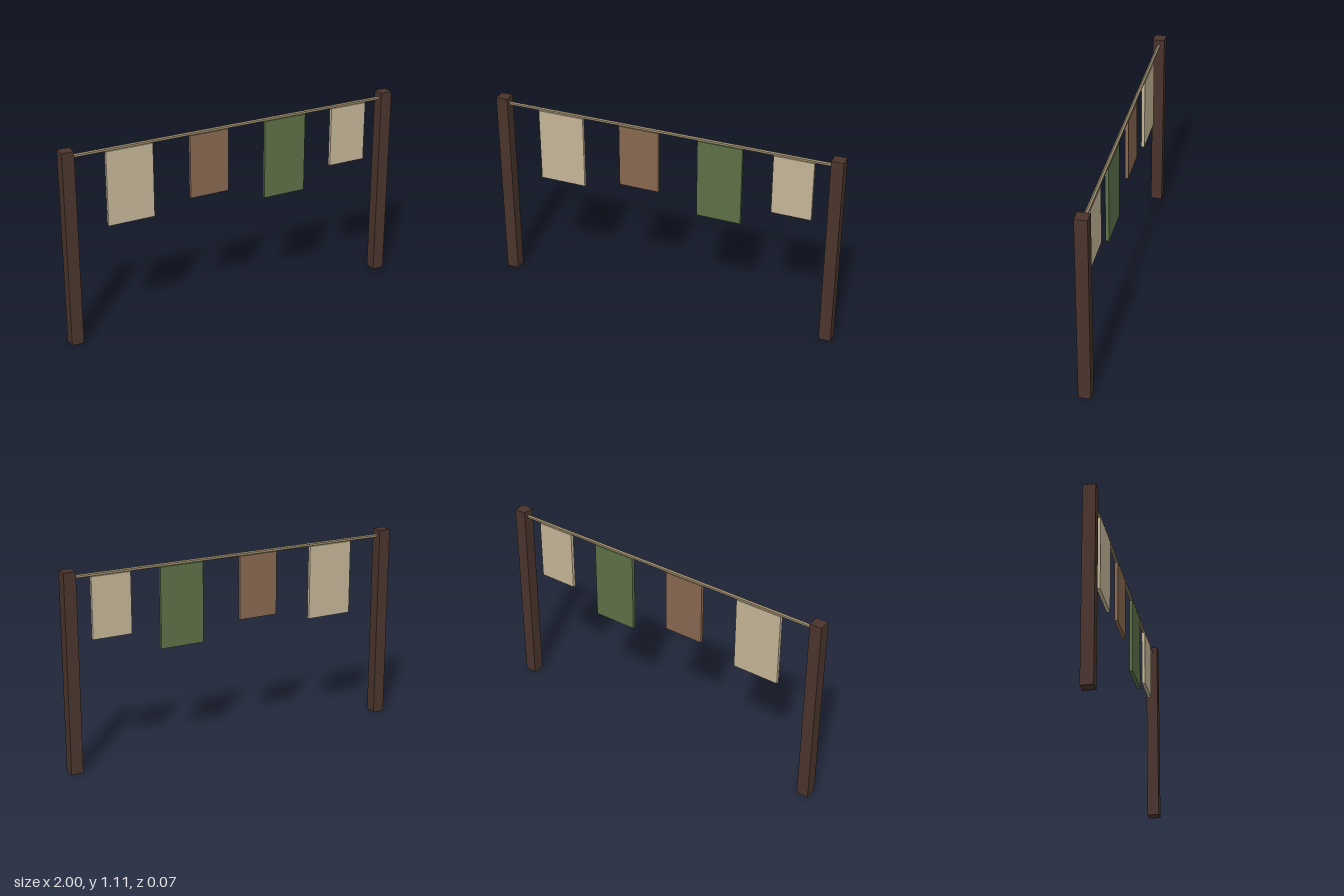
import * as THREE from 'three';

const material = (name, color) => {
  const m = new THREE.MeshStandardMaterial({ color });
  m.name = name;
  return m;
};

export function createModel() {
  const group = new THREE.Group();
  const wood = material('dark wood', 0x4a342c);
  const cord = material('cord', 0x9c8c6c);
  const linen = material('linen', 0xc4b597);
  const brown = material('brown cloth', 0x876850);
  const green = material('green cloth', 0x5d7047);

  const addBox = (name, mat, x0, x1, y0, y1, depth) => {
    const mesh = new THREE.Mesh(new THREE.BoxGeometry(x1 - x0, y1 - y0, depth), mat);
    mesh.position.set((x0 + x1) / 2, (y0 + y1) / 2, 0);
    mesh.name = name;
    group.add(mesh);
  };

  // Square end posts
  addBox('rightPost', wood, -1, -0.932, 0, 1.112, 0.068);
  addBox('leftPost', wood, 0.932, 1, 0, 1.112, 0.068);

  // Six-sided line strung between the posts
  const ropeGeometry = new THREE.CylinderGeometry(0.0105, 0.0105, 1.87, 6, 1, false, Math.PI / 6)
    .rotateZ(Math.PI / 2).toNonIndexed();
  ropeGeometry.computeVertexNormals();
  const rope = new THREE.Mesh(ropeGeometry, cord);
  rope.position.y = 1.075;
  rope.name = 'clothesline';
  group.add(rope);

  // Hanging cloths: material, left edge, right edge, hem height
  [
    [linen, -0.75, -0.482, 0.645],
    [brown, -0.265, -0.034, 0.705],
    [green, 0.192, 0.446, 0.612],
    [linen, 0.617, 0.84, 0.725],
  ].forEach(([mat, x0, x1, hem], i) => addBox(`cloth${i + 1}`, mat, x0, x1, hem, 1.066, 0.019));

  return group;
}
